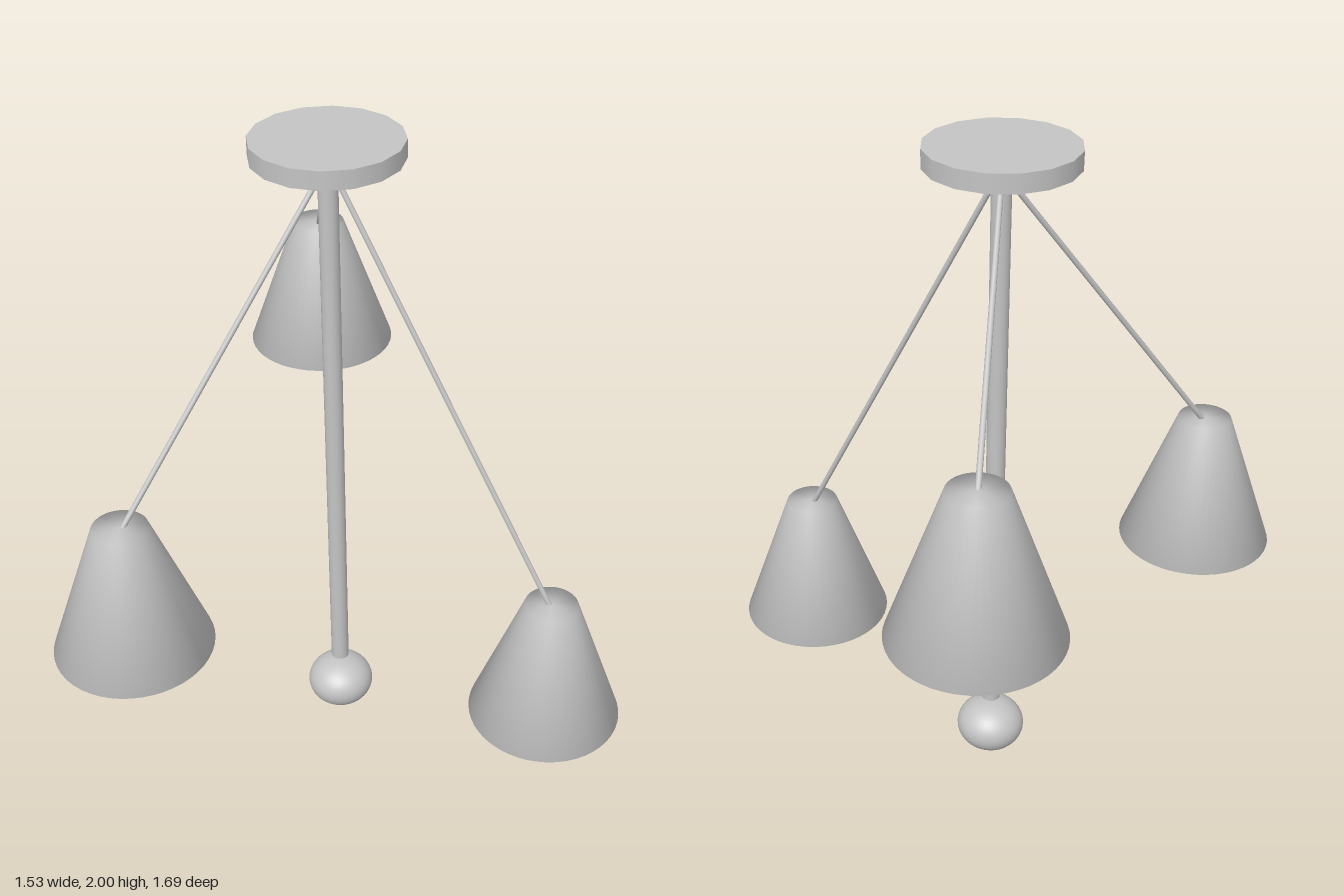
import * as THREE from 'three';
import { mergeVertices } from 'three/addons/utils/BufferGeometryUtils.js';

const AXIS_X = -0.18; // x of the central pole

const grey = new THREE.MeshStandardMaterial({ color: 0xc4c4c4 });
grey.name = 'grey';

function part(name, geometry, x, y, z) {
  const mesh = new THREE.Mesh(geometry, grey);
  mesh.name = name;
  mesh.position.set(x, y, z);
  return mesh;
}

// closed tapered shade, smoothed over its rims
function shadeGeometry(height) {
  const g = new THREE.CylinderGeometry(0.08, 0.233, height, 48);
  g.deleteAttribute('normal');
  g.deleteAttribute('uv');
  const merged = mergeVertices(g, 1e-4);
  merged.computeVertexNormals();
  return merged;
}

// thin straight rod between two points
function rod(name, a, b, radius) {
  const mesh = part(name, new THREE.CylinderGeometry(radius, radius, a.distanceTo(b), 10), 0, 0, 0);
  mesh.position.copy(a).add(b).multiplyScalar(0.5);
  mesh.quaternion.setFromUnitVectors(new THREE.Vector3(0, 1, 0), b.clone().sub(a).normalize());
  return mesh;
}

export function createModel() {
  const model = new THREE.Group();
  model.name = 'hangingLamp';

  // ceiling plate, pole and ball at its foot
  const plate = new THREE.CylinderGeometry(0.21, 0.21, 0.053, 16);
  model.add(part('ceilingPlate', plate, AXIS_X, 1.9735, 0));
  model.add(part('pole', new THREE.CylinderGeometry(0.028, 0.028, 1.77, 16), AXIS_X, 1.075, 0));
  const ball = part('ball', new THREE.SphereGeometry(1, 32, 24), AXIS_X, 0.083, 0);
  ball.scale.set(0.105, 0.083, 0.105);
  model.add(ball);

  // three shades at 120 degrees, each hung at its own height
  const height = 0.422;
  const shade = shadeGeometry(height);
  const tops = [0.662, 1.038, 1.414];
  tops.forEach((top, i) => {
    const angle = (i * Math.PI * 2) / 3;
    const at = (r, y) => new THREE.Vector3(AXIS_X + r * Math.cos(angle), y, r * Math.sin(angle));
    const arm = new THREE.Group();
    arm.name = 'arm' + (i + 1);
    const c = at(0.707, top - height / 2);
    arm.add(part('shade', shade, c.x, c.y, c.z));
    arm.add(rod('rod', at(0.012, 1.915), at(0.7, top - 0.006), 0.008));
    model.add(arm);
  });

  return model;
}
